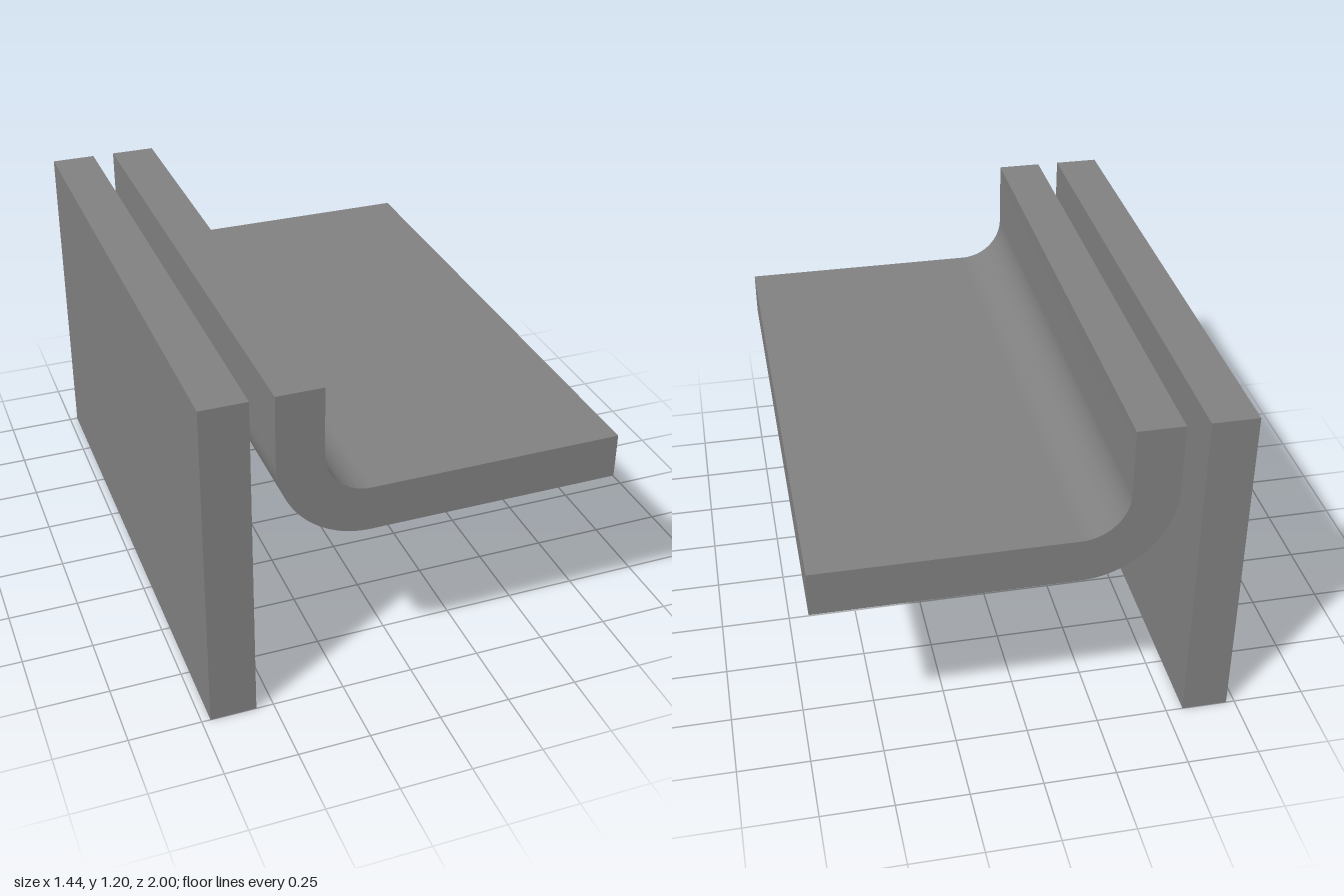
import * as THREE from 'three';
import { toCreasedNormals } from 'three/addons/utils/BufferGeometryUtils.js';

const LENGTH = 2;
const THICKNESS = 0.16;
const TOP = 1.2;

export function createModel() {
  const model = new THREE.Group();
  model.name = 'bentPlateAndWall';
  const steel = new THREE.MeshStandardMaterial({ color: 0x808080 });
  steel.name = 'steel grey';

  // Upright flat plate
  const upright = new THREE.Mesh(new THREE.BoxGeometry(THICKNESS, TOP, LENGTH), steel);
  upright.name = 'uprightPlate';
  upright.position.set(-0.64, TOP / 2, 0);
  model.add(upright);

  // Bent plate: short vertical leg, rounded bend, long horizontal leg
  const cx = -0.16, cy = 0.96, inner = 0.16, outer = inner + THICKNESS;
  const profile = new THREE.Shape();
  profile.moveTo(cx - outer, TOP);
  profile.lineTo(cx - outer, cy);
  profile.absarc(cx, cy, outer, Math.PI, Math.PI * 1.5, false);
  profile.lineTo(0.72, cy - outer);
  profile.lineTo(0.72, cy - inner);
  profile.lineTo(cx, cy - inner);
  profile.absarc(cx, cy, inner, Math.PI * 1.5, Math.PI, true);
  profile.lineTo(cx - inner, TOP);
  profile.closePath();

  const bentGeometry = new THREE.ExtrudeGeometry(profile, {
    depth: LENGTH, bevelEnabled: false, curveSegments: 20,
  });
  bentGeometry.translate(0, 0, -LENGTH / 2);
  const bent = new THREE.Mesh(toCreasedNormals(bentGeometry, 0.5), steel);
  bent.name = 'bentPlate';
  model.add(bent);

  return model;
}
